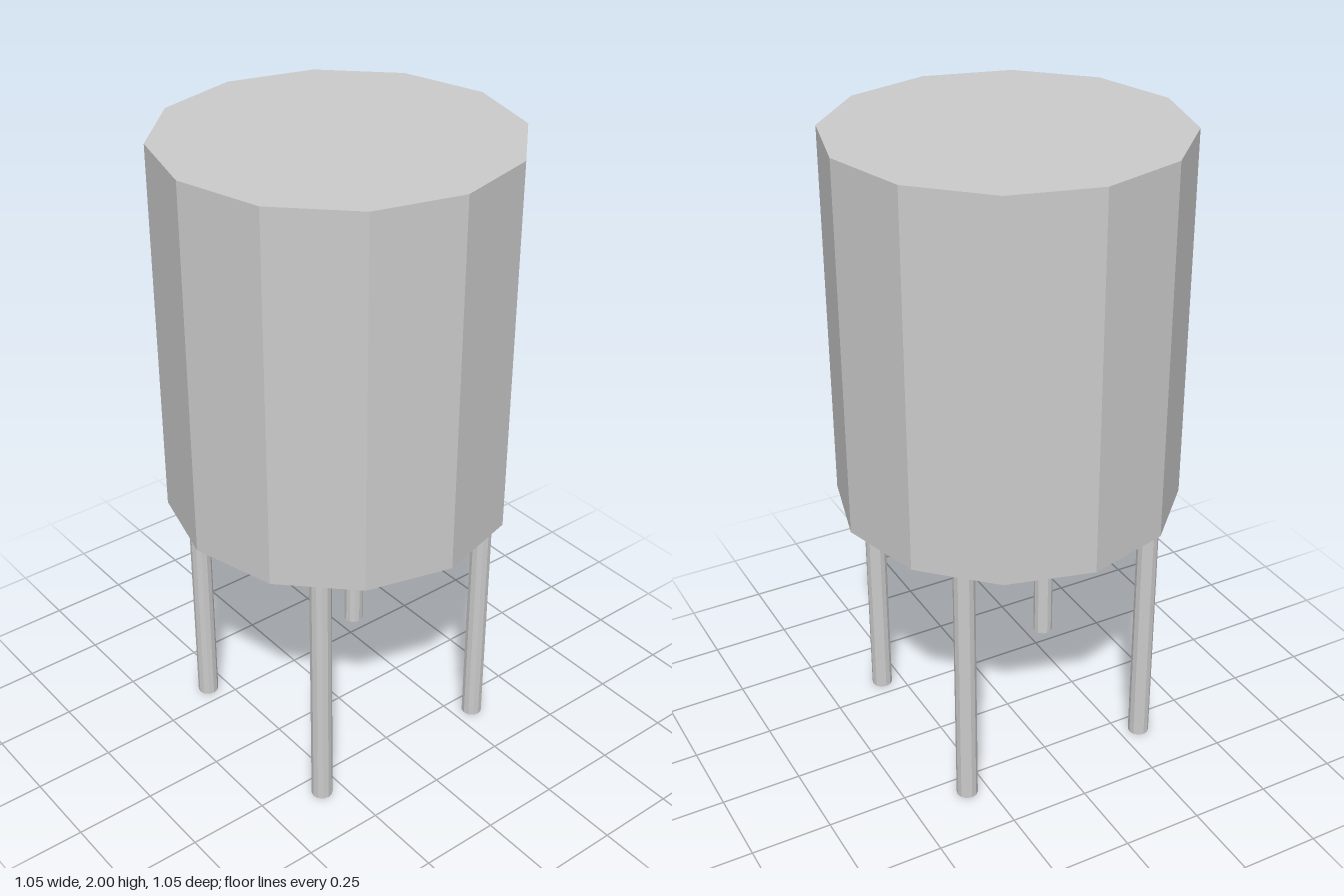
import * as THREE from 'three';

const BODY_RADIUS = 0.527, BODY_BOTTOM = 0.845, TOP = 2;
const LEG_RADIUS = 0.033, LEG_OFFSET = 0.315, SIDES = 12;

export function createModel() {
  const model = new THREE.Group();
  const material = new THREE.MeshStandardMaterial({ color: 0xcccccc, flatShading: true });

  // Upright faceted cylinder standing on y = bottom
  const addCylinder = (name, radius, bottom, top, x, z) => {
    const mesh = new THREE.Mesh(
      new THREE.CylinderGeometry(radius, radius, top - bottom, SIDES), material);
    mesh.name = name;
    mesh.position.set(x, (bottom + top) / 2, z);
    model.add(mesh);
  };

  // Tank body
  addCylinder('body', BODY_RADIUS, BODY_BOTTOM, TOP, 0, 0);

  // Four legs at the corners of a square
  for (const [side, sx] of [['Left', 1], ['Right', -1]])
    for (const [end, sz] of [['front', 1], ['back', -1]])
      addCylinder(`${end}${side}Leg`, LEG_RADIUS, 0, BODY_BOTTOM, sx * LEG_OFFSET, sz * LEG_OFFSET);

  return model;
}
